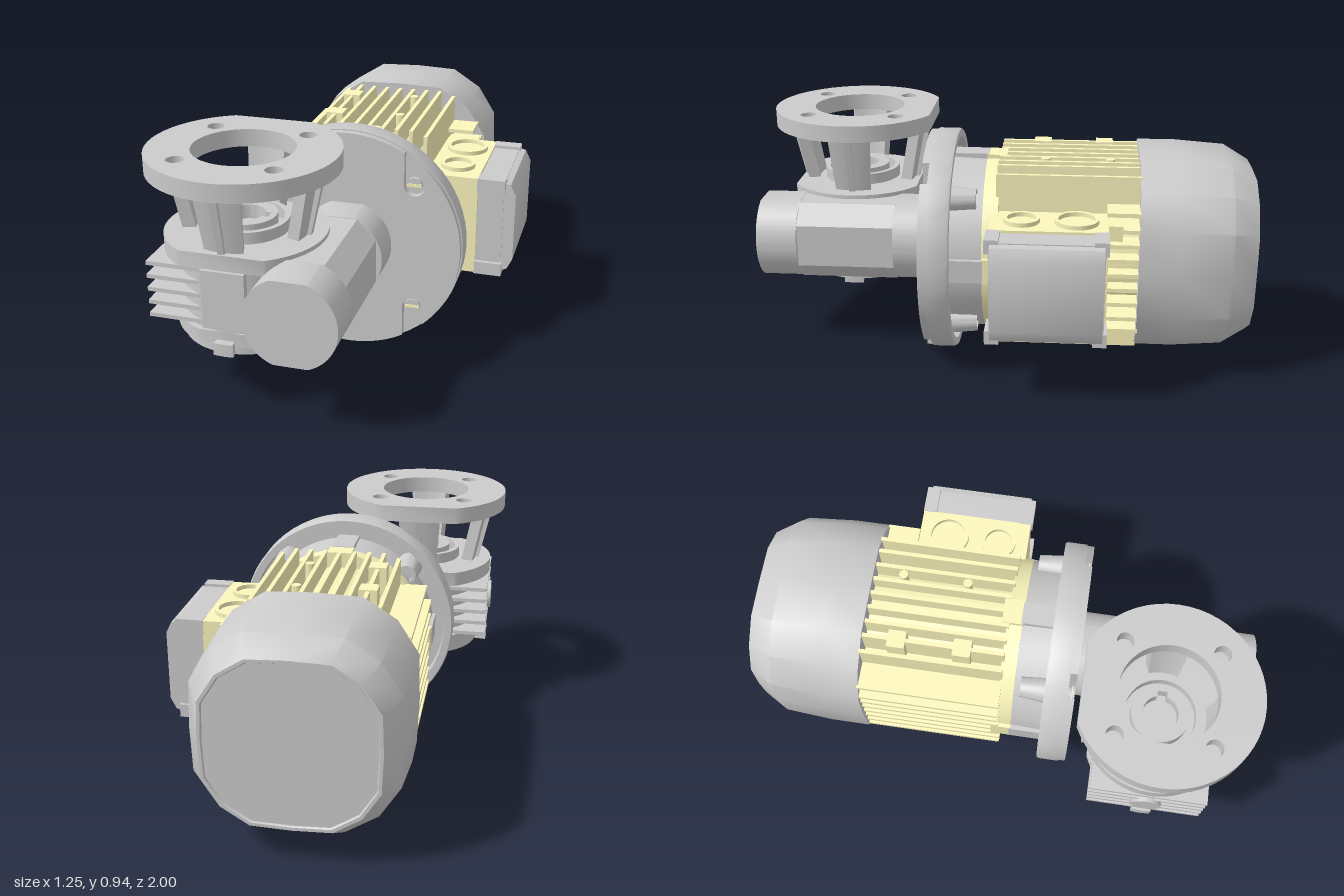
import * as THREE from 'three';
import { toCreasedNormals } from 'three/addons/utils/BufferGeometryUtils.js';

const PI = Math.PI;
const grey = new THREE.MeshStandardMaterial({ color: 0xcccccc });
const cream = new THREE.MeshStandardMaterial({ color: 0xfcf6bc });
const brass = new THREE.MeshStandardMaterial({ color: 0xd8a868 });

function add(parent, name, geo, mat, x = 0, y = 0, z = 0) {
  const mesh = new THREE.Mesh(toCreasedNormals(geo, 0.6), mat);
  mesh.name = name;
  mesh.position.set(x, y, z);
  parent.add(mesh);
  return mesh;
}
// box given by its minimum and maximum corners
function block(parent, name, mat, [x0, y0, z0], [x1, y1, z1]) {
  return add(parent, name, new THREE.BoxGeometry(x1 - x0, y1 - y0, z1 - z0), mat,
    (x0 + x1) / 2, (y0 + y1) / 2, (z0 + z1) / 2);
}
// turned part from [radius, height] pairs, outer side running upwards
const turned = (pts, n = 48) => new THREE.LatheGeometry(pts.map(p => new THREE.Vector2(...p)), n);
const ring = (ro, ri, y0, y1, n) => turned([[ri, y0], [ro, y0], [ro, y1], [ri, y1], [ri, y0]], n);
const rod = (r, y0, y1, n = 32) => turned([[0, y0], [r, y0], [r, y1], [0, y1]], n);
const alongZ = g => g.rotateX(PI / 2);
const extrude = (shape, depth) => new THREE.ExtrudeGeometry(shape, { depth, bevelEnabled: false, curveSegments: 24 });
const polygon = pts => new THREE.Shape(pts.map(p => new THREE.Vector2(...p)));
// circle with flats at y = +-f
function flatCircle(r, f) {
  const t = Math.asin(f / r), s = new THREE.Shape();
  s.absarc(0, 0, r, -t, t);
  s.absarc(0, 0, r, PI - t, PI + t);
  return s;
}
// conical leg: a box bent around the y axis
function leg(angle, width, r0, r1, thick, y0, y1) {
  const g = new THREE.BoxGeometry(1, 1, 1, 6, 1, 1), p = g.attributes.position;
  for (let i = 0; i < p.count; i++) {
    const a = angle + p.getX(i) * width, h = p.getY(i) + 0.5;
    const r = r0 + (r1 - r0) * h + (p.getZ(i) - 0.5) * thick;
    p.setXYZ(i, r * Math.sin(a), y0 + (y1 - y0) * h, r * Math.cos(a));
  }
  return g;
}
// rounded-square cross-sections [z, scale] joined along z, from front to back
function cowlGeometry(sections) {
  const pos = [], idx = [], n = 16, radii = [0.392, 0.425, 0.432, 0.425];
  const angles = [0, 25, 45, 65];
  for (const [z, s] of sections)
    for (let i = 0; i < n; i++) {
      const a = (angles[i % 4] + 90 * Math.floor(i / 4)) * PI / 180, r = radii[i % 4] * s;
      pos.push(r * Math.cos(a), r * Math.sin(a), z);
    }
  for (let k = 0; k < sections.length - 1; k++)
    for (let i = 0; i < n; i++) {
      const a = k * n + i, b = k * n + (i + 1) % n;
      idx.push(a, a + n, b, b, a + n, b + n);
    }
  const g = new THREE.BufferGeometry();
  g.setAttribute('position', new THREE.Float32BufferAttribute(pos, 3));
  g.setIndex(idx);
  return g;
}

function buildMotor() {
  const m = new THREE.Group();
  m.name = 'motor';
  m.position.set(0.008, 0.457, 0);

  // fan cowl
  add(m, 'fanCowl', cowlGeometry([[-0.545, 0], [-0.545, 1], [-0.7, 1], [-0.9, 0.965],
    [-1, 0.82], [-1, 0.79], [-0.992, 0.78], [-0.992, 0]]), grey, 0, 0.005);

  // finned barrel; the corner fins stop behind the terminal box
  add(m, 'barrel', alongZ(rod(0.315, -0.56, 0.03)), cream);
  add(m, 'barrelCollar', alongZ(rod(0.365, 0, 0.06)), cream);
  for (let side = 0; side < 4; side++) {
    const fins = new THREE.Group();
    fins.name = 'finBank';
    fins.rotation.z = side * PI / 2;
    m.add(fins);
    for (let i = -4; i <= 4; i++) {
      const x = i * 0.06, top = Math.min(0.376, Math.sqrt(0.43 ** 2 - x * x));
      const front = side === 3 && Math.abs(i) === 4 ? -0.42 : 0.01;
      block(fins, 'coolingFin', cream, [x - 0.008, 0.19, -0.55], [x + 0.008, top, front]);
    }
    block(fins, 'collarPad', cream, [-0.05, 0.3, -0.02], [0.05, 0.376, 0.06]);
  }
  for (const s of [1, -1])
    for (const z of [-0.41, -0.155]) {
      block(m, 'footPad', cream, [-0.215, Math.min(s * 0.27, s * 0.38), z - 0.035],
        [-0.145, Math.max(s * 0.27, s * 0.38), z + 0.035]);
      add(m, 'padScrew', rod(0.018, 0, 0.1, 12), cream, 0.09, s > 0 ? 0.28 : -0.38, z - 0.02);
    }

  // adapter between barrel and flange
  add(m, 'adapter', alongZ(turned([[0, 0.055], [0.36, 0.055], [0.368, 0.24], [0, 0.24]])), grey);
  for (let i = 0; i < 4; i++) {
    const pad = block(m, 'adapterPad', grey, [-0.045, 0.3, 0.055], [0.045, 0.378, 0.24]);
    pad.position.applyAxisAngle(new THREE.Vector3(0, 0, 1), i * PI / 2);
    pad.rotation.z = i * PI / 2;
  }

  // round flange with raised rear rim
  add(m, 'flange', alongZ(turned([[0, 0.22], [0.415, 0.22], [0.42, 0.18], [0.45, 0.18], [0.455, 0.19],
    [0.455, 0.27], [0, 0.27]], 64)), grey);
  const R = 0.45, a = Math.acos(0.305 / R), b = Math.acos(0.225 / R), face = new THREE.Shape();
  face.absarc(0, 0, R, -a, a);
  face.absarc(0.265, 0.26, 0.04, 0, PI, true);
  face.absarc(0, 0, R, b, PI - b);
  face.absarc(-0.265, 0.26, 0.04, 0, PI, true);
  face.absarc(0, 0, R, PI - a, PI + a);
  face.absarc(-0.265, -0.26, 0.04, PI, 0, true);
  face.absarc(0, 0, R, PI + b, 2 * PI - b);
  face.absarc(0.265, -0.26, 0.04, PI, 0, true);
  add(m, 'slottedFlangeFace', extrude(face, 0.03), grey, 0, 0, 0.268);
  for (const x of [-0.262, 0.262])
    for (const y of [-0.26, 0.26]) {
      add(m, 'boltBoss', alongZ(turned([[0.028, 0.085], [0.04, 0.085], [0.055, 0.23], [0.028, 0.23], [0.028, 0.085]], 24)), grey, x, y);
      add(m, 'flangeBolt', alongZ(rod(0.03, 0.11, 0.285, 20)), grey, x, y);
      block(m, 'boltSlot', cream, [x - 0.029, y - 0.006, 0.28], [x + 0.029, y + 0.006, 0.288]);
    }
  return m;
}

function buildTerminalBox() {
  const t = new THREE.Group();
  t.name = 'terminalBox';
  block(t, 'boxBase', cream, [0.25, 0.25, -0.425], [0.47, 0.665, 0.025]);
  block(t, 'screwLug', cream, [0.25, 0.6, -0.48], [0.385, 0.66, -0.42]);
  block(t, 'coverBase', grey, [0.47, 0.262, -0.415], [0.575, 0.655, 0.015]);
  const bulge = polygon([[0.57, 0.265], [0.6, 0.275], [0.622, 0.32], [0.622, 0.6], [0.6, 0.645], [0.57, 0.652]]);
  add(t, 'coverBulge', extrude(bulge, 0.42), grey, 0, 0, -0.41);
  for (const y of [0.275, 0.64])
    for (const z of [-0.4, 0.005])
      block(t, 'coverCorner', grey, [0.468, y - 0.027, z - 0.027], [0.58, y + 0.027, z + 0.027]);
  // cable entries above and below
  for (const [z, r] of [[-0.305, 0.085], [-0.095, 0.07]]) {
    add(t, 'upperEntry', ring(r, r - 0.015, 0.66, 0.682, 32), cream, 0.365, 0, z);
    add(t, 'lowerEntry', ring(r, r - 0.015, 0.235, 0.26, 32), cream, 0.365, 0, z);
  }
  add(t, 'cableGland', turned([[0, 0.198], [0.078, 0.198], [0.09, 0.21], [0.09, 0.238], [0, 0.238]], 6), brass, 0.365, 0, -0.3);
  return t;
}

function buildGearbox() {
  const g = new THREE.Group();
  g.name = 'gearbox';

  // worm tube with chamfered middle
  const end = flatCircle(0.175, 0.163);
  add(g, 'wormFrontEnd', extrude(end, 0.165), grey, 0.01, 0.458, 0.835);
  add(g, 'wormRearEnd', extrude(end, 0.15), grey, 0.01, 0.458, 0.29);
  const w = 0.153, h = 0.161, c = 0.075;
  add(g, 'wormHousing', extrude(polygon([[w, c - h], [w, h - c], [w - c, h], [c - w, h], [-w, h - c],
    [-w, c - h], [c - w, -h], [w - c, -h]]), 0.4), grey, 0.01, 0.458, 0.437);
  block(g, 'housingBridge', grey, [-0.275, 0.31, 0.44], [-0.05, 0.61, 0.84]);

  // wheel housing, built around its own vertical axis
  const v = new THREE.Group();
  v.name = 'wheelHousing';
  v.position.set(-0.274, 0, 0.637);
  g.add(v);
  add(v, 'housingBody', turned([[0.215, 0.29], [0.215, 0.24], [0.25, 0.24], [0.25, 0.6], [0, 0.635]]), grey);
  add(v, 'topRim', extrude(flatCircle(0.303, 0.258), 0.06).rotateX(-PI / 2), grey, 0, 0.575);
  add(v, 'lowerRim', extrude(flatCircle(0.27, 0.25), 0.05).rotateX(-PI / 2), grey, 0, 0.275);
  add(v, 'bottomHub', ring(0.155, 0.11, 0.235, 0.3), grey);
  for (let i = 0; i < 8; i++)
    add(v, 'bottomRib', leg((i + 0.5) * PI / 4, 0.08, 0.22, 0.22, 0.07, 0.248, 0.28), grey);
  block(v, 'frontBoss', grey, [-0.08, 0.34, 0], [0.085, 0.57, 0.262]);
  for (let i = 0; i < 4; i++) {
    const r = i % 2 ? 0.303 : 0.28;
    add(v, 'footLug', leg(i * PI / 2, 0.27, r, r, 0.07, 0.243, 0.292), grey);
  }
  for (let i = 0; i < 5; i++) {
    const y = 0.345 + i * 0.052;
    block(v, 'housingFin', grey, [-0.303, y - 0.008, -0.23], [-0.1, y + 0.008, 0.23]);
  }
  add(v, 'sidePlug', rod(0.062, 0.1, 0.315, 24).rotateZ(PI / 2), grey, 0, 0.455);

  // hollow output shaft with keyway
  add(v, 'bearingCollar', ring(0.16, 0.14, 0.63, 0.68), grey);
  const shaft = new THREE.Shape().absarc(0, 0, 0.115, 0, 2 * PI);
  const bore = new THREE.Path().absarc(0, 0, 0.07, 0.28, 2 * PI - 0.28);
  bore.lineTo(0.09, -0.019).lineTo(0.09, 0.019);
  shaft.holes.push(bore);
  add(v, 'outputShaft', extrude(shaft, 0.465).rotateX(-PI / 2), grey, 0, 0.226);

  // four legs carrying the output flange
  for (let i = 0; i < 4; i++) {
    add(v, 'flangeLeg', leg(i * PI / 2, 0.64, 0.235, 0.285, 0.05, 0.63, 0.88), grey);
    add(v, 'legRib', leg(i * PI / 2, 0.1, 0.25, 0.305, 0.04, 0.63, 0.88), grey);
  }
  const r = 0.356, t = Math.asin(0.32 / r), plate = new THREE.Shape();
  plate.absarc(0, 0, r, PI - t, 2 * PI + t);
  const holes = [[0, 0, 0.19]];
  for (const x of [-0.182, 0.182]) for (const y of [-0.182, 0.182]) holes.push([x, y, 0.033]);
  for (const [x, y, hr] of holes) plate.holes.push(new THREE.Path().absarc(x, y, hr, 0, 2 * PI, true));
  add(v, 'outputFlange', extrude(plate, 0.068).rotateX(-PI / 2), grey, 0, 0.876);
  return g;
}

export function createModel() {
  const model = new THREE.Group();
  model.name = 'gearMotor';
  model.add(buildMotor(), buildTerminalBox(), buildGearbox());
  return model;
}
